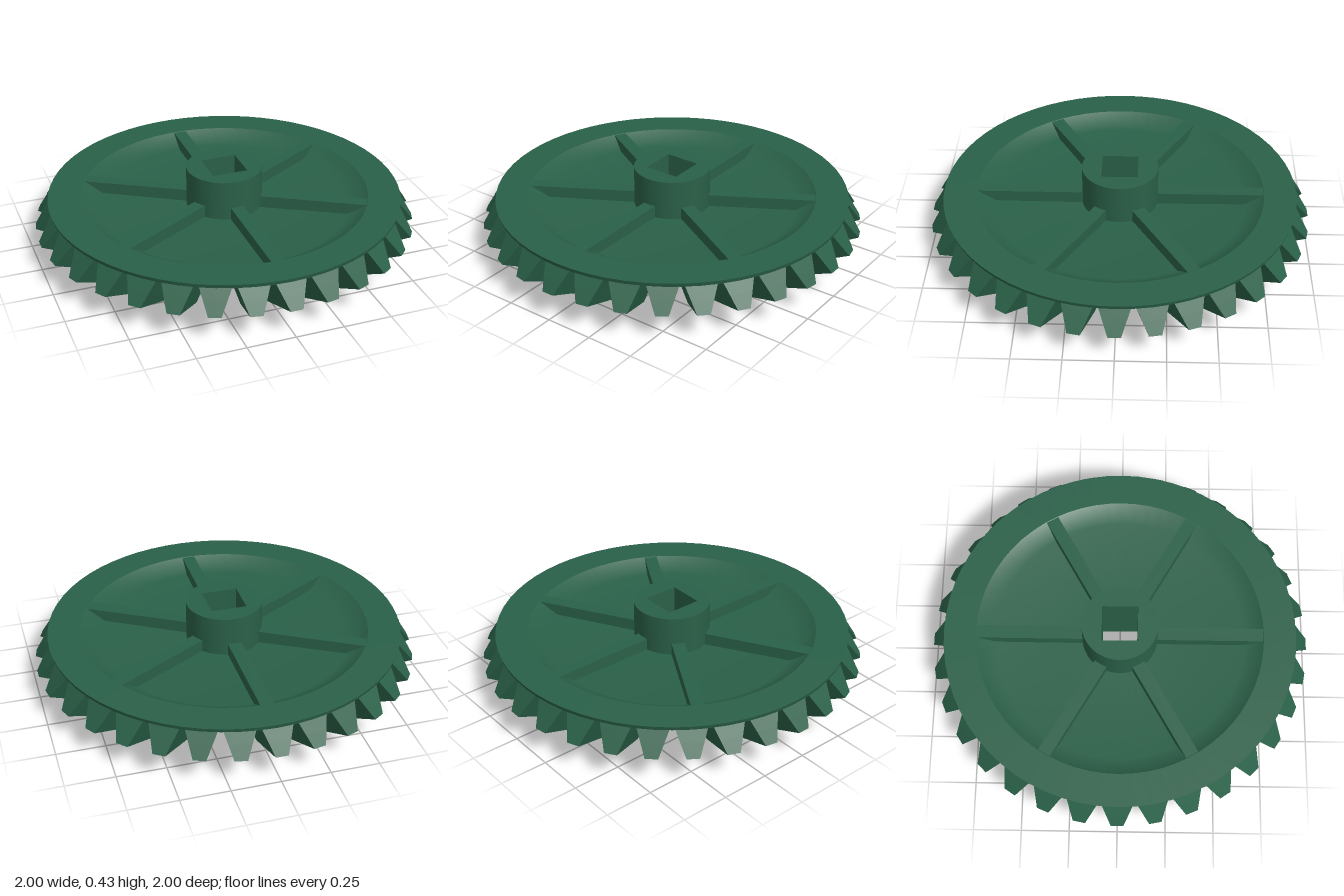
import * as THREE from 'three';
import { mergeGeometries, toCreasedNormals } from 'three/addons/utils/BufferGeometryUtils.js';

const TEETH = 32;
const material = new THREE.MeshStandardMaterial({ color: 0x2a6048 });

function part(name, geometry) {
  const mesh = new THREE.Mesh(geometry, material);
  mesh.name = name;
  return mesh;
}

const lathe = (points) =>
  new THREE.LatheGeometry(points.map(([r, y]) => new THREE.Vector2(r, y)), 64);

// One bevel tooth: the same section at the large and small end, joined as a tapering prism
function toothGeometry() {
  // [half angle, height from root (0) to tip (1)]
  const half = [[0.086, -0.15], [0.083, 0], [0.059, 0.45], [0.032, 1]];
  const section = [
    ...half.map(([a, h]) => [-a, h]),
    ...half.slice().reverse(),
  ];
  const end = (rootR, rootY, tipR, tipY) => section.map(([a, h]) => {
    const r = rootR + (tipR - rootR) * h;
    return [r * Math.sin(a), rootY + (tipY - rootY) * h, r * Math.cos(a)];
  });
  const outer = end(0.925, 0.265, 1.0, 0.15);
  const inner = end(0.62, 0.085, 0.66, 0);
  const n = section.length;
  const pos = [];
  const tri = (...corners) => corners.forEach((c) => pos.push(...c));
  for (let i = 0; i < n; i++) {
    const j = (i + 1) % n;
    tri(outer[j], outer[i], inner[i]);
    tri(outer[j], inner[i], inner[j]);
    // End caps in strips between the two flanks
    if (i < n / 2 - 1) {
      const k = n - 1 - i;
      tri(outer[i], outer[j], outer[k - 1]);
      tri(outer[i], outer[k - 1], outer[k]);
      tri(inner[i], inner[k - 1], inner[j]);
      tri(inner[i], inner[k], inner[k - 1]);
    }
  }
  const g = new THREE.BufferGeometry();
  g.setAttribute('position', new THREE.Float32BufferAttribute(pos, 3));
  g.computeVertexNormals();
  return g;
}

export function createModel() {
  const gear = new THREE.Group();
  gear.name = 'bevelGear';

  // Underside, root cone and flat rim
  gear.add(part('gearBody', toCreasedNormals(lathe([
    [0.15, 0.1], [0.61, 0.1], [0.615, 0.085], [0.62, 0.085],
    [0.925, 0.265], [0.93, 0.285], [0.76, 0.285],
  ]), 0.4)));

  // Softly shaded dish inside the rim
  gear.add(part('dish', lathe([[0.76, 0.285], [0.66, 0.222], [0.15, 0.218]])));

  // Ring of teeth
  const tooth = toothGeometry();
  const teeth = [];
  for (let i = 0; i < TEETH; i++) {
    teeth.push(tooth.clone().rotateY((i / TEETH) * Math.PI * 2));
  }
  gear.add(part('teeth', mergeGeometries(teeth)));

  // Hub with a square shaft hole
  const ring = new THREE.Shape().absarc(0, 0, 0.2, 0, Math.PI * 2, false);
  const s = 0.094;
  ring.holes.push(new THREE.Path([[-s, -s], [-s, s], [s, s], [s, -s]]
    .map(([x, y]) => new THREE.Vector2(x, y))));
  const hub = new THREE.ExtrudeGeometry(ring, { depth: 0.375, bevelEnabled: false, curveSegments: 32 });
  hub.rotateX(-Math.PI / 2).translate(0, 0.055, 0);
  gear.add(part('hub', toCreasedNormals(hub, 0.5)));

  // Six spokes from hub to rim
  const spokes = new THREE.Group();
  spokes.name = 'spokes';
  for (let i = 0; i < 6; i++) {
    const g = new THREE.BoxGeometry(0.07, 0.083, 0.585);
    g.translate(0, 0.2415, 0.4725).rotateY((i * Math.PI) / 3);
    spokes.add(part('spoke', g));
  }
  gear.add(spokes);

  return gear;
}
